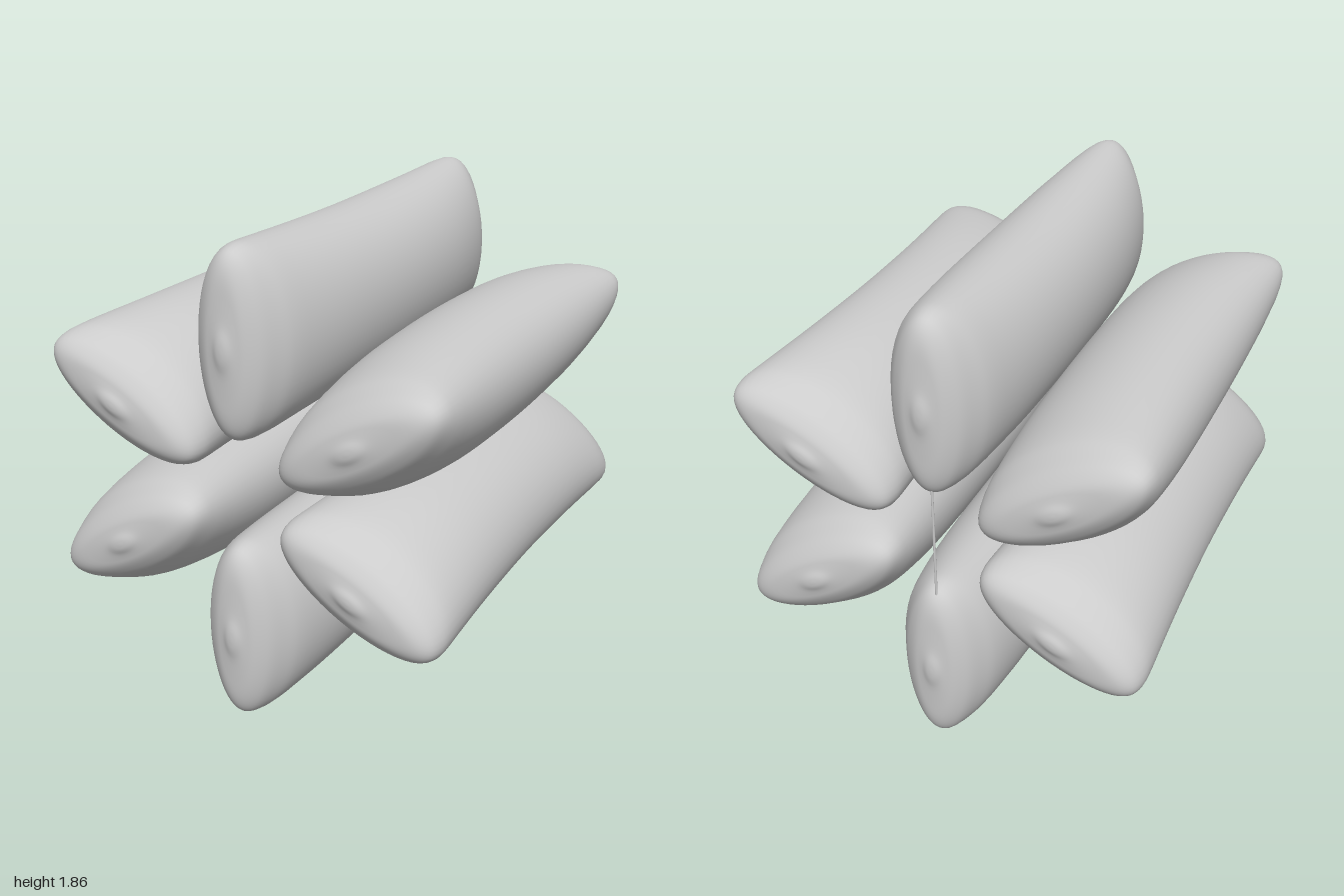
import * as THREE from 'three';
import { mergeVertices } from 'three/addons/utils/BufferGeometryUtils.js';

const CENTRE_Y = 0.928;
const RING_RADIUS = 0.565;

// Pillow stations from the middle to the end: half thickness, half height, distance along the pillow
const STATIONS = [
  [0.264, 0.337, 0], [0.26, 0.34, 0.25], [0.247, 0.347, 0.5], [0.222, 0.356, 0.7],
  [0.195, 0.362, 0.82], [0.165, 0.361, 0.88], [0.135, 0.345, 0.93], [0.105, 0.31, 0.958],
  [0.08, 0.255, 0.974], [0.058, 0.17, 0.981], [0.04, 0.09, 0.987], [0.02, 0.04, 0.997], [0, 0, 1],
];

// Pillow: a lathe whose rings are squashed to ellipses that follow the stations
function pillowGeometry() {
  const front = STATIONS.map(([w, h, d]) => new THREE.Vector3(w, h, d));
  const back = front.slice(1).reverse().map((p) => new THREE.Vector3(p.x, p.y, -p.z));
  const rows = new THREE.CatmullRomCurve3([...back, ...front]).getPoints(72);

  const raw = new THREE.LatheGeometry(rows.map((p) => new THREE.Vector2(1, p.z)), 48);
  const pos = raw.attributes.position;
  for (let i = 0; i < pos.count; i++) {
    const row = rows[i % rows.length];
    pos.setX(i, pos.getX(i) * Math.max(row.x, 0));
    pos.setZ(i, pos.getZ(i) * Math.max(row.y, 0));
  }
  raw.deleteAttribute('uv');
  raw.deleteAttribute('normal');
  const geometry = mergeVertices(raw, 1e-5);
  geometry.rotateX(Math.PI / 2);
  geometry.computeVertexNormals();
  return geometry;
}

export function createModel() {
  const group = new THREE.Group();
  const material = new THREE.MeshStandardMaterial({ color: 0xcccccc });

  // Six pillows in a ring, each with its broad side pointing at the centre
  const geometry = pillowGeometry();
  for (let i = 0; i < 6; i++) {
    const angle = (i * Math.PI) / 3;
    const pillow = new THREE.Mesh(geometry, material);
    pillow.name = `pillow${i + 1}`;
    pillow.position.set(-Math.sin(angle) * RING_RADIUS, CENTRE_Y + Math.cos(angle) * RING_RADIUS, 0);
    pillow.rotation.z = angle;
    group.add(pillow);
  }

  // Thin cord joining the top and bottom pillows near the back
  const cord = new THREE.Mesh(new THREE.CylinderGeometry(0.005, 0.005, 0.54, 8), material);
  cord.name = 'cord';
  cord.position.set(-0.008, CENTRE_Y, -0.938);
  group.add(cord);

  return group;
}
